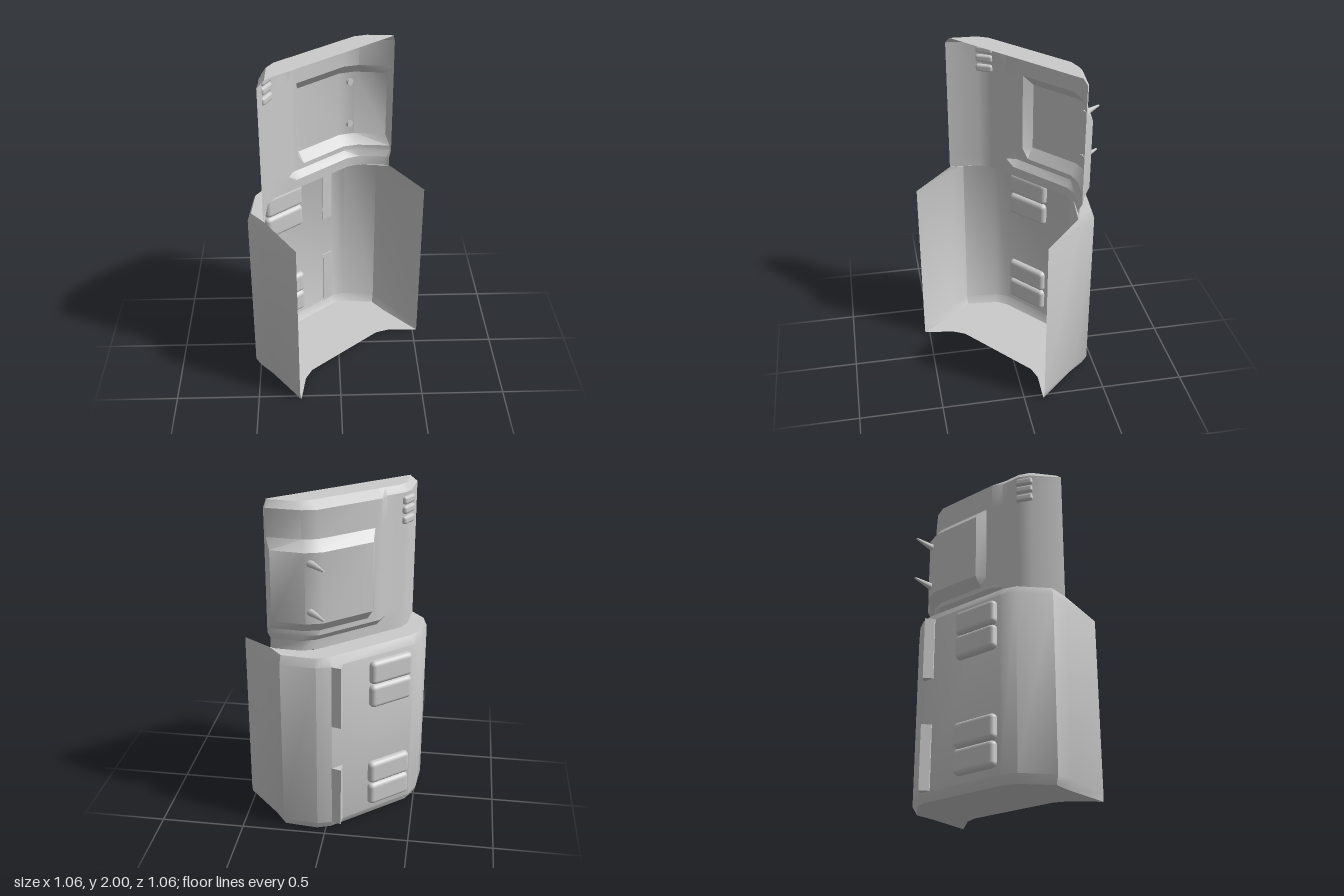
import * as THREE from 'three';
import { toCreasedNormals } from 'three/addons/utils/BufferGeometryUtils.js';
import { RoundedBoxGeometry } from 'three/addons/geometries/RoundedBoxGeometry.js';

// The shell is modelled square-on (u across, w outward to the back), then turned.
const TURN = THREE.MathUtils.degToRad(40);
const CENTRE = -0.024;

const grey = new THREE.MeshStandardMaterial({ color: 0xcccccc, side: THREE.DoubleSide });

function add(parent, name, geometry, x = 0, y = 0, z = 0) {
  const mesh = new THREE.Mesh(geometry, grey);
  mesh.name = name;
  mesh.position.set(x, y, z);
  parent.add(mesh);
  return mesh;
}

// Skin over rows of [u, w, y] points, running upward on the outer face
function loft(rows) {
  const cols = rows[0].length;
  const pos = rows.flat().flatMap(([u, w, y]) => [u, y, -w]);
  const index = [];
  for (let i = 0; i < rows.length - 1; i++) {
    for (let j = 0; j < cols - 1; j++) {
      const a = i * cols + j, b = a + 1, c = a + cols, d = c + 1;
      index.push(a, c, b, b, c, d);
    }
  }
  const g = new THREE.BufferGeometry();
  g.setAttribute('position', new THREE.Float32BufferAttribute(pos, 3));
  g.setIndex(index);
  return toCreasedNormals(g, THREE.MathUtils.degToRad(33));
}

// Mirrored ring from half a profile, listed from wing tip to back wall;
// the tip may sit at its own height
function ring(half, y, tipY = y) {
  const at = (s) => half.map(([u, w], i) => [CENTRE + s * u, w, i === 0 ? tipY : y]);
  return [...at(-1), ...at(1).reverse()];
}

function lowerShell() {
  const wall = [[0.507, -0.246], [0.51, 0.045], [0.512, 0.186], [0.364, 0.333], [0.28, 0.368]];
  const foot = [[0.502, -0.25], [0.485, 0.045], [0.49, 0.17], [0.352, 0.31], [0.275, 0.34]];
  const floorEdge = [[0.502, -0.25], [0.45, -0.205], [0.4, -0.16], [0.36, -0.125], [0.28, -0.092]];
  const rim = [[0.507, -0.246], [0.497, 0.045], [0.496, 0.172], [0.355, 0.315], [0.28, 0.338]];
  const ledge = [[0.507, -0.246], [0.497, 0.045], [0.365, 0.185], [0.295, 0.214], [0.25, 0.214]];
  return loft([
    ring(floorEdge, 0), ring(foot, 0), ring(wall, 0.05), ring(wall, 1.09),
    ring(rim, 1.14, 1.09), ring(ledge, 1.14, 1.09),
  ]);
}

function upperShell() {
  // Plain left part shared by every level
  const left = [[-0.525, 0.05], [-0.389, 0.185], [-0.319, 0.214], [-0.2, 0.214]];
  const base = [...left, [-0.144, 0.214], [-0.1, 0.214], [-0.058, 0.214],
    [0.265, 0.214], [0.345, 0.185], [0.463, 0.07], [0.468, 0.05]];
  const raised = [...left, [-0.144, 0.247], [-0.1, 0.247], [-0.058, 0.247],
    [0.265, 0.247], [0.345, 0.207], [0.485, 0.068], [0.488, 0.055]];
  const hatch = [...left, [-0.144, 0.247], [-0.1, 0.247], [-0.058, 0.295],
    [0.268, 0.295], [0.357, 0.256], [0.491, 0.114], [0.488, 0.055]];
  const roof = [[-0.48, 0.037], [-0.375, 0.16], [-0.305, 0.187], [-0.2, 0.187],
    [-0.144, 0.187], [-0.1, 0.187], [-0.058, 0.187],
    [0.284, 0.187], [0.358, 0.155], [0.463, 0.05], [0.464, 0.044]];
  const level = (p, y) => p.map(([u, w]) => [u, w, y]);
  return loft([
    level(base, 1.14), level(base, 1.2), level(raised, 1.24), level(raised, 1.27),
    level(hatch, 1.33), level(hatch, 1.74), level(raised, 1.8), level(raised, 1.96),
    level(roof, 2), level(roof.map(([u]) => [u, 0.04]), 2),
  ]);
}

// Upright wedge fin on the lower back
function finGeometry(height) {
  const s = new THREE.Shape();
  s.moveTo(0.185, 0.362);
  s.lineTo(0.262, 0.362);
  s.lineTo(0.226, 0.415);
  s.lineTo(0.187, 0.372);
  s.closePath();
  return new THREE.ExtrudeGeometry(s, { depth: height, bevelEnabled: false }).rotateX(-Math.PI / 2);
}

export function createModel() {
  const model = new THREE.Group();
  model.name = 'armourShell';
  const body = new THREE.Group();
  body.name = 'body';
  body.rotation.y = TURN;
  model.add(body);

  add(body, 'lowerShell', lowerShell());
  add(body, 'upperShell', upperShell());

  // Two pairs of cushioned pads
  const pad = new RoundedBoxGeometry(0.285, 0.146, 0.07, 3, 0.028);
  for (const y of [0.166, 0.316, 0.838, 0.988]) add(body, 'pad', pad, -0.138, y, -0.37);

  // Wedge fins, one near the foot and one near the rim
  for (const y of [0.05, 0.71]) add(body, 'fin', finGeometry(0.38), 0, y, 0);

  // Three vent slats on the upper corner
  const slat = new RoundedBoxGeometry(0.105, 0.046, 0.035, 2, 0.015);
  for (const y of [1.8, 1.86, 1.915]) {
    add(body, 'ventSlat', slat, -0.355, y, -0.2).rotation.y = 0.4;
  }

  // Two spikes on the hatch, wide at the root and thin at the tip
  const spike = new THREE.CylinderGeometry(0.006, 0.022, 0.15, 8).rotateX(-Math.PI / 2);
  for (const y of [1.4, 1.68]) add(body, 'spike', spike, 0.328, y, -0.333);

  return model;
}
